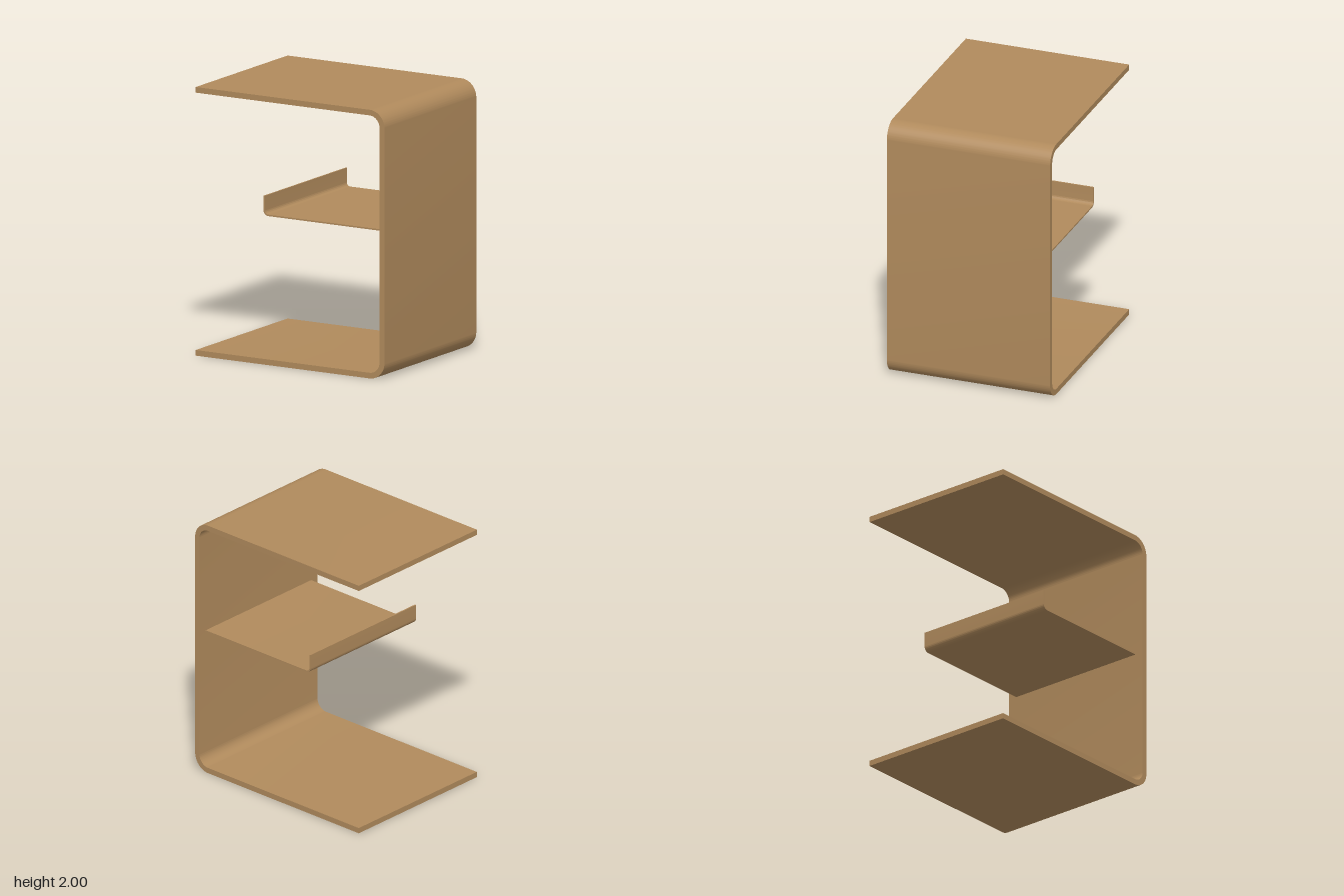
import * as THREE from 'three';
import { toCreasedNormals } from 'three/addons/utils/BufferGeometryUtils.js';

const wood = new THREE.MeshStandardMaterial({ color: 0xb08a5c });
wood.name = 'warm oak';

// Extrude a side profile along z, centred, with smooth bends and sharp edges
function bentPanel(name, shape, depth) {
  const extruded = new THREE.ExtrudeGeometry(shape, { depth, bevelEnabled: false, curveSegments: 16 });
  extruded.translate(0, 0, -depth / 2);
  const mesh = new THREE.Mesh(toCreasedNormals(extruded, 0.5), wood);
  mesh.name = name;
  return mesh;
}

// C-shaped body: base, upright and top bent from one sheet
function frameShape() {
  const x = 0.807, h = 2, t = 0.042, R = 0.127, r = R - t, c = x - R;
  const s = new THREE.Shape();
  s.moveTo(-x, 0);
  s.lineTo(c, 0);
  s.absarc(c, R, R, -Math.PI / 2, 0, false);
  s.lineTo(x, h - R);
  s.absarc(c, h - R, R, 0, Math.PI / 2, false);
  s.lineTo(-x, h);
  s.lineTo(-x, h - t);
  s.lineTo(c, h - t);
  s.absarc(c, h - R, r, Math.PI / 2, 0, true);
  s.lineTo(x - t, R);
  s.absarc(c, R, r, 0, -Math.PI / 2, true);
  s.lineTo(-x, t);
  s.closePath();
  return s;
}

// Thin middle shelf with an upturned lip
function shelfShape() {
  const x0 = -0.269, x1 = 0.766, y0 = 1.092, y1 = 1.24, t = 0.011, R = 0.04, r = R - t;
  const s = new THREE.Shape();
  s.moveTo(x1, y0);
  s.lineTo(x1, y0 + t);
  s.lineTo(x0 + R, y0 + t);
  s.absarc(x0 + R, y0 + R, r, -Math.PI / 2, -Math.PI, true);
  s.lineTo(x0 + t, y1);
  s.lineTo(x0, y1);
  s.lineTo(x0, y0 + R);
  s.absarc(x0 + R, y0 + R, R, Math.PI, Math.PI * 1.5, false);
  s.closePath();
  return s;
}

export function createModel() {
  const group = new THREE.Group();
  group.name = 'sideTable';
  group.add(bentPanel('frame', frameShape(), 1.272));
  group.add(bentPanel('shelf', shelfShape(), 1.136));
  return group;
}
